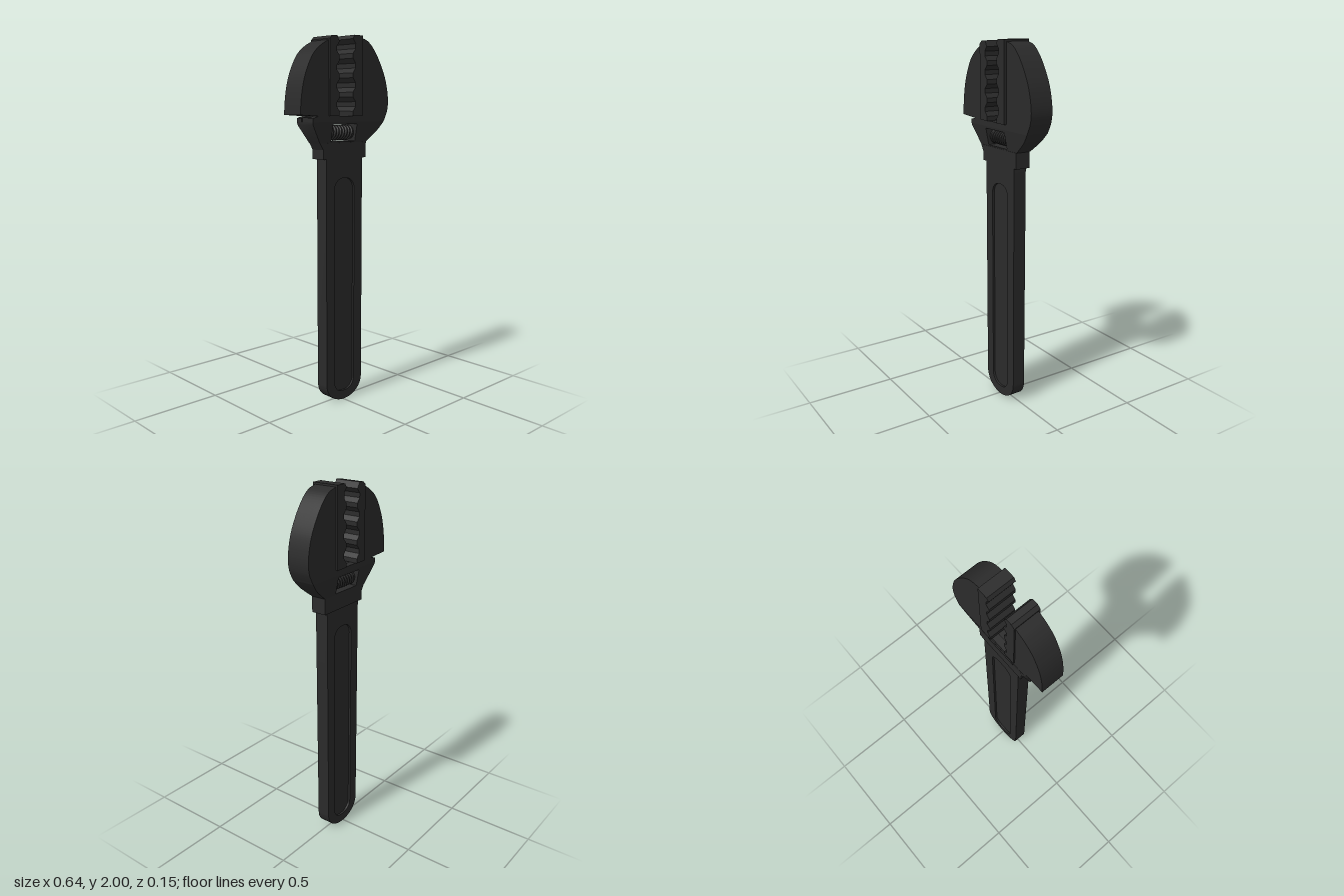
import * as THREE from 'three';
import { toCreasedNormals } from 'three/addons/utils/BufferGeometryUtils.js';

const BODY_Z = -0.003; // mid-plane of the head

export function createModel() {
  const group = new THREE.Group();
  const steel = new THREE.MeshStandardMaterial({ color: 0x2b2b2b });
  steel.name = 'dark steel';

  const add = (name, geometry, parent = group) => {
    const mesh = new THREE.Mesh(geometry, steel);
    mesh.name = name;
    parent.add(mesh);
    return mesh;
  };
  const polygon = (pts) => new THREE.Shape(pts.map(([x, y]) => new THREE.Vector2(x, y)));
  const spline = (shape, pts) => shape.splineThru(pts.map(([x, y]) => new THREE.Vector2(x, y)));

  // Extrude an outline between two depths, smooth along its curves.
  const slab = (shape, z0, z1) => {
    const g = new THREE.ExtrudeGeometry(shape, { depth: z1 - z0, bevelEnabled: false, curveSegments: 20 });
    g.translate(0, 0, z0);
    return toCreasedNormals(g, 0.5);
  };

  // Rounded-end slot outline.
  const pill = (Type, x0, x1, y0, y1, r) => {
    const p = new Type();
    p.moveTo(x0, y0 + r);
    p.absarc(x0 + r, y0 + r, r, Math.PI, Math.PI * 1.5);
    p.absarc(x1 - r, y0 + r, r, Math.PI * 1.5, Math.PI * 2);
    p.absarc(x1 - r, y1 - r, r, 0, Math.PI / 2);
    p.absarc(x0 + r, y1 - r, r, Math.PI / 2, Math.PI);
    p.closePath();
    return p;
  };

  // Handle with a shallow pocket on both faces
  const grip = new THREE.Shape();
  grip.moveTo(-0.125, 1.37);
  grip.lineTo(-0.125, 0.11);
  grip.bezierCurveTo(-0.125, 0.04, -0.06, 0, 0.0075, 0);
  grip.bezierCurveTo(0.075, 0, 0.14, 0.04, 0.14, 0.11);
  grip.lineTo(0.14, 1.37);
  grip.closePath();
  grip.holes.push(pill(THREE.Path, -0.066, 0.08, 0.05, 1.25, 0.062));
  add('handle', slab(grip, -0.037, 0.037));
  add('handlePocketFloor', slab(pill(THREE.Shape, -0.068, 0.082, 0.048, 1.252, 0.064), -0.025, 0.025));

  // Collar where the handle enters the head
  add('collar', slab(polygon([[-0.15, 1.355], [0.165, 1.355], [0.165, 1.44], [-0.172, 1.44], [-0.15, 1.405]]),
    -0.043, 0.041));

  // Neck: thickens steadily from the collar to the jaws, with a window for the screw
  const neck = new THREE.Shape();
  neck.moveTo(-0.172, 1.44);
  neck.lineTo(0.165, 1.44);
  spline(neck, [[0.21, 1.474], [0.25, 1.508], [0.285, 1.55]]);
  neck.lineTo(-0.237, 1.55);
  neck.lineTo(-0.235, 1.535);
  neck.closePath();
  neck.holes.push(new THREE.Path([[-0.095, 1.447], [-0.095, 1.537], [0.08, 1.537], [0.08, 1.447]]
    .map(([x, y]) => new THREE.Vector2(x, y))));
  let neckGeometry = new THREE.ExtrudeGeometry(neck, { depth: 2, bevelEnabled: false, curveSegments: 12 });
  const pos = neckGeometry.attributes.position;
  for (let i = 0; i < pos.count; i++) {
    const half = 0.042 + (pos.getY(i) - 1.44) * 0.2;
    pos.setZ(i, BODY_Z + (pos.getZ(i) > 1 ? half : -half));
  }
  neckGeometry.computeVertexNormals();
  add('neck', toCreasedNormals(neckGeometry, 0.5));

  // Track cheeks either side of the sliding rail
  const cheek = polygon([[-0.237, 1.55], [0.11, 1.55], [0.11, 1.58], [-0.2, 1.58], [-0.237, 1.57]]);
  add('trackFront', slab(cheek, 0.022, 0.061));
  add('trackBack', slab(cheek, -0.067, -0.028));
  add('slideRail', new THREE.BoxGeometry(0.335, 0.026, 0.05)).position.set(-0.065, 1.561, BODY_Z);

  // Fixed jaw
  const fixedJaw = new THREE.Group();
  fixedJaw.name = 'fixedJaw';
  const fixed = new THREE.Shape();
  fixed.moveTo(0.09, 1.55);
  fixed.lineTo(0.285, 1.55);
  spline(fixed, [[0.313, 1.61], [0.318, 1.68], [0.295, 1.78], [0.25, 1.87], [0.2, 1.938], [0.155, 1.975], [0.105, 1.99]]);
  fixed.lineTo(0.09, 1.99);
  fixed.closePath();
  add('fixedJawBody', slab(fixed, -0.067, 0.061), fixedJaw);

  // Sliding jaw
  const slidingJaw = new THREE.Group();
  slidingJaw.name = 'slidingJaw';
  const sliding = new THREE.Shape();
  sliding.moveTo(-0.12, 1.58);
  sliding.lineTo(-0.12, 1.97);
  sliding.lineTo(-0.13, 1.965);
  spline(sliding, [[-0.185, 1.935], [-0.235, 1.89], [-0.275, 1.82], [-0.3, 1.75], [-0.315, 1.67], [-0.322, 1.587]]);
  sliding.lineTo(-0.2, 1.58);
  sliding.closePath();
  add('slidingJawBody', slab(sliding, -0.067, 0.061), slidingJaw);
  group.add(fixedJaw, slidingJaw);

  // Toothed gripping edge: crests at xCrest, valleys cut back toward the jaw
  const teeth = (xCrest, cut, top) => {
    const pts = [];
    const pitch = (top - 1.58) / 4;
    for (let i = 0; i < 4; i++) {
      const y = 1.58 + i * pitch;
      pts.push([xCrest, y], [xCrest, y + pitch * 0.25],
        [xCrest + cut, y + pitch * 0.5], [xCrest + cut, y + pitch * 0.75]);
    }
    pts.push([xCrest, top]);
    return pts;
  };
  const fixedEdge = [...teeth(0.033, 0.019, 1.98), [0.045, 2], [0.104, 2], [0.104, 1.58]].reverse();
  add('fixedTeeth', slab(polygon(fixedEdge), -0.077, 0.074), fixedJaw);
  const slidingEdge = [...teeth(-0.061, -0.019, 1.96), [-0.078, 1.99], [-0.11, 1.988], [-0.129, 1.972], [-0.129, 1.58]];
  add('slidingTeeth', slab(polygon(slidingEdge), -0.074, 0.071), slidingJaw);

  // Adjusting screw: a core wrapped by slanted ridges
  const screw = new THREE.Group();
  screw.name = 'adjustingScrew';
  screw.position.set(-0.0075, 1.492, BODY_Z);
  group.add(screw);
  add('screwCore', new THREE.CylinderGeometry(0.035, 0.035, 0.18, 24).rotateZ(Math.PI / 2), screw);
  for (let i = 0; i < 8; i++) {
    const ridge = new THREE.TorusGeometry(0.035, 0.007, 6, 24).rotateY(Math.PI / 2).rotateZ(-0.22);
    add('screwRidge', ridge, screw).position.x = -0.07 + i * 0.02;
  }

  return group;
}
